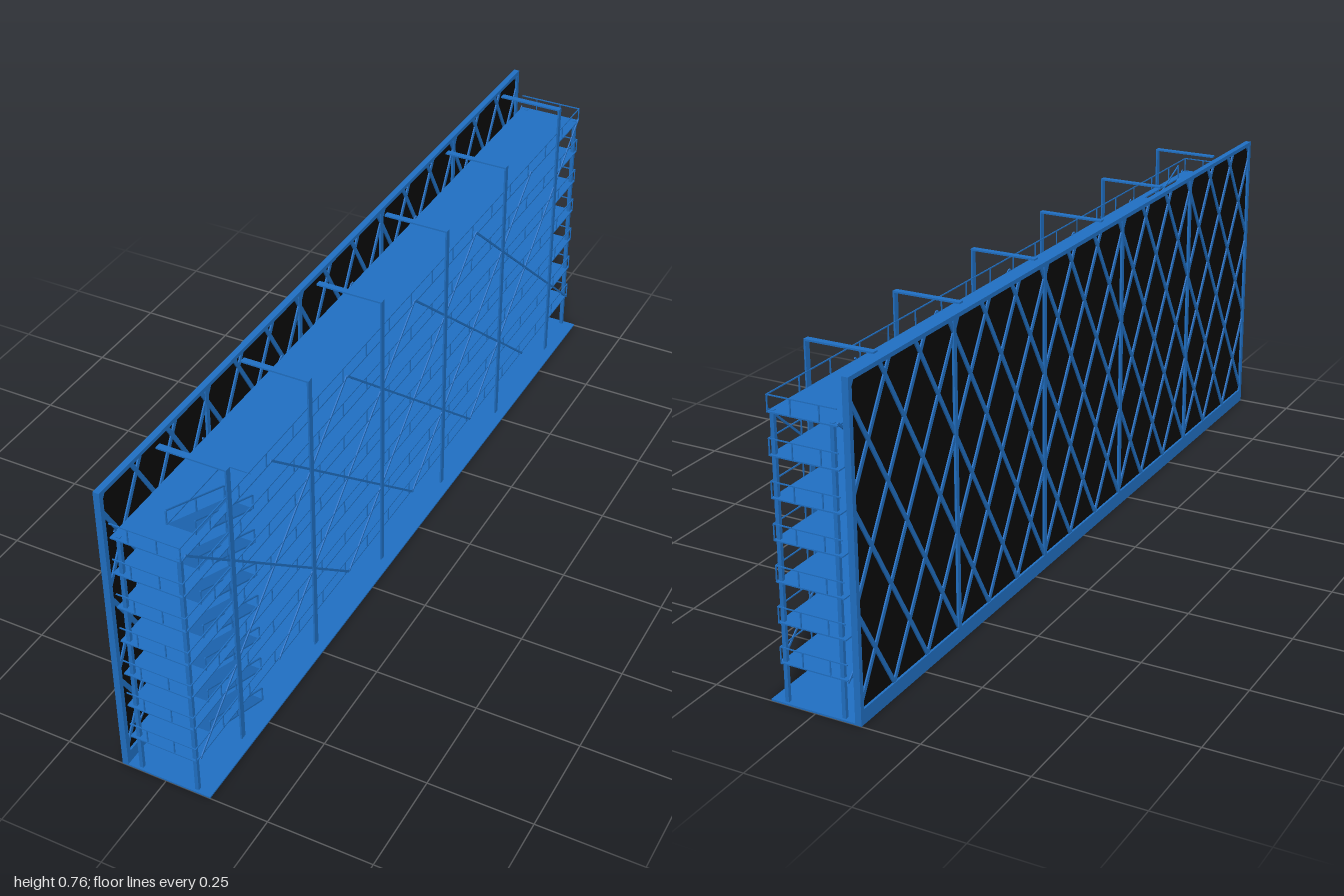
import * as THREE from 'three';

const blue = new THREE.MeshStandardMaterial({ color: 0x2070c4 });
const black = new THREE.MeshStandardMaterial({ color: 0x0a0a0a });

const LEVELS = Array.from({ length: 7 }, (_, i) => 0.097 + i * 0.0925);
const RISE = 0.0925, RAIL = 0.037, EDGE = 0.081, T = 0.0025;
const FRAME_Z = Array.from({ length: 6 }, (_, i) => 0.817 - i * 0.334);
const STAIR = { x0: -0.003, x1: 0.065, z0: 0.7, z1: 0.915 };

export function createModel() {
  const model = new THREE.Group();

  function group(name) {
    const g = new THREE.Group();
    g.name = name;
    model.add(g);
    return g;
  }
  // Box given by its minimum and maximum corners
  function box(parent, name, [x0, y0, z0], [x1, y1, z1], material = blue) {
    const m = new THREE.Mesh(new THREE.BoxGeometry(x1 - x0, y1 - y0, z1 - z0), material);
    m.position.set((x0 + x1) / 2, (y0 + y1) / 2, (z0 + z1) / 2);
    m.name = name;
    parent.add(m);
  }
  // Straight bar in a plane of constant x, from (y, z) to (y, z)
  function bar(parent, name, x, [ya, za], [yb, zb], width, depth) {
    const length = Math.hypot(yb - ya, zb - za);
    const m = new THREE.Mesh(new THREE.BoxGeometry(width, depth, length), blue);
    m.position.set(x, (ya + yb) / 2, (za + zb) / 2);
    m.rotation.x = -Math.atan2(yb - ya, zb - za);
    m.name = name;
    parent.add(m);
  }

  box(model, 'baseSlab', [-0.11, 0, -1], [0.11, 0.004, 1]);

  // Facade screen: dark sheet, frame, seams and diagonal lattice
  const screen = group('facadeScreen');
  const X0 = -0.111, X1 = -0.096, XM = (X0 + X1) / 2, Y0 = 0.035, Y1 = 0.758;
  box(screen, 'darkSheet', [XM - 0.002, 0.004, -0.995], [XM + 0.002, 0.755, 0.995], black);
  box(screen, 'bottomBand', [X0, 0, -1], [X1, Y0, 1]);
  box(screen, 'topBeam', [X0, 0.748, -1], [X1, Y1, 1]);
  for (let i = 0; i <= 5; i++) {
    const z = THREE.MathUtils.clamp(-1 + i * 0.4, -0.994, 0.994);
    box(screen, 'mullion', [X0, 0, z - 0.006], [X1, Y1, z + 0.006]);
  }
  const run = (Y1 - Y0) / Math.tan(Math.PI / 3), pitch = 0.4 / 3;
  for (const s of [1, -1]) {
    for (let c = -1 - 4 * pitch; c < 1.6; c += pitch) {
      // Clip each diagonal to the ends of the screen
      const at = (z) => THREE.MathUtils.clamp((z - s * c) / (s * run), 0, 1);
      const ts = [at(-0.995), at(0.995)];
      const a = Math.min(...ts), b = Math.max(...ts);
      if (b - a < 0.02) continue;
      const point = (t) => [Y0 + t * (Y1 - 0.008 - Y0), s * (c + t * run)];
      bar(screen, 'latticeBar', XM, point(a), point(b), 0.011, 0.01);
    }
  }

  // Decks with a stair opening
  const decks = group('decks');
  const shape = new THREE.Shape([[-0.082, -1], [0.082, -1], [0.082, 1], [-0.082, 1]]
    .map(([x, z]) => new THREE.Vector2(x, z)));
  shape.holes.push(new THREE.Path([[STAIR.x0, STAIR.z0], [STAIR.x0, STAIR.z1],
    [STAIR.x1, STAIR.z1], [STAIR.x1, STAIR.z0]].map(([x, z]) => new THREE.Vector2(x, z))));
  const deckGeometry = new THREE.ExtrudeGeometry(shape, { depth: 0.003, bevelEnabled: false });
  deckGeometry.rotateX(Math.PI / 2);
  for (const y of LEVELS) {
    const deck = new THREE.Mesh(deckGeometry, blue);
    deck.name = 'deck';
    deck.position.y = y + 0.0015;
    decks.add(deck);
  }

  // Guard rails along the open side and across both ends
  const rails = group('guardRails');
  for (const y of LEVELS) {
    const top = y + RAIL;
    box(rails, 'sideRail', [EDGE - T / 2, top - T, -1], [EDGE + T / 2, top, 1]);
    for (let i = 0; i <= 18; i++) {
      const z = -0.998 + i * 1.996 / 18;
      box(rails, 'sideRailPost', [EDGE - T / 2, y, z - T / 2], [EDGE + T / 2, top, z + T / 2]);
    }
    for (const z of [-0.998, 0.998]) {
      box(rails, 'endRail', [-0.082, top - T, z - T / 2], [EDGE, top, z + T / 2]);
      for (const x of [-0.04, 0.027]) {
        box(rails, 'endRailPost', [x - T / 2, y, z - T / 2], [x + T / 2, top, z + T / 2]);
      }
    }
  }

  // Corner columns
  for (const x of [-0.066, 0.074]) {
    for (const z of [-0.99, 0.99]) {
      box(model, 'cornerColumn', [x - 0.0045, 0, z - 0.0045], [x + 0.0045, 0.655, z + 0.0045]);
    }
  }

  // Outer frames: tall post with an arm reaching over the top deck
  const frames = group('frames');
  for (const z of FRAME_Z) {
    box(frames, 'framePost', [0.081, 0, z - 0.0075], [0.085, 0.757, z + 0.0075]);
    box(frames, 'frameArm', [-0.079, 0.753, z - 0.0075], [0.085, 0.757, z + 0.0075]);
  }

  // Overlapping cross braces on both long sides
  const braces = group('crossBraces');
  for (let i = 0; i < 5; i++) {
    const z = (FRAME_Z[i] + FRAME_Z[i + 1]) / 2;
    const za = Math.min(z + 0.333, 0.997), zb = Math.max(z - 0.333, -0.997);
    for (const x of [-0.082, 0.082]) {
      bar(braces, 'brace', x, [0.658, za], [0.092, zb], 0.0025, 0.005);
      bar(braces, 'brace', x, [0.092, za], [0.658, zb], 0.0025, 0.005);
    }
  }

  // Stair flights, all rising toward the front, with sloped handrails
  const stairs = group('stairs');
  const { x0, x1, z0, z1 } = STAIR;
  LEVELS.forEach((y, i) => {
    const low = i ? y - RISE : 0.004;
    bar(stairs, 'flight', (x0 + x1) / 2, [low, z0], [y, z1], x1 - x0, 0.004);
    for (const x of [x0, x1]) {
      bar(stairs, 'handrail', x, [low + RAIL, z0], [y + RAIL, z1], 0.003, 0.003);
      for (const t of [0, 0.5, 1]) {
        const z = z0 + t * (z1 - z0), foot = low + t * (y - low);
        box(stairs, 'handrailPost', [x - 0.0015, foot, z - 0.0015], [x + 0.0015, foot + RAIL, z + 0.0015]);
      }
    }
  });

  return model;
}
